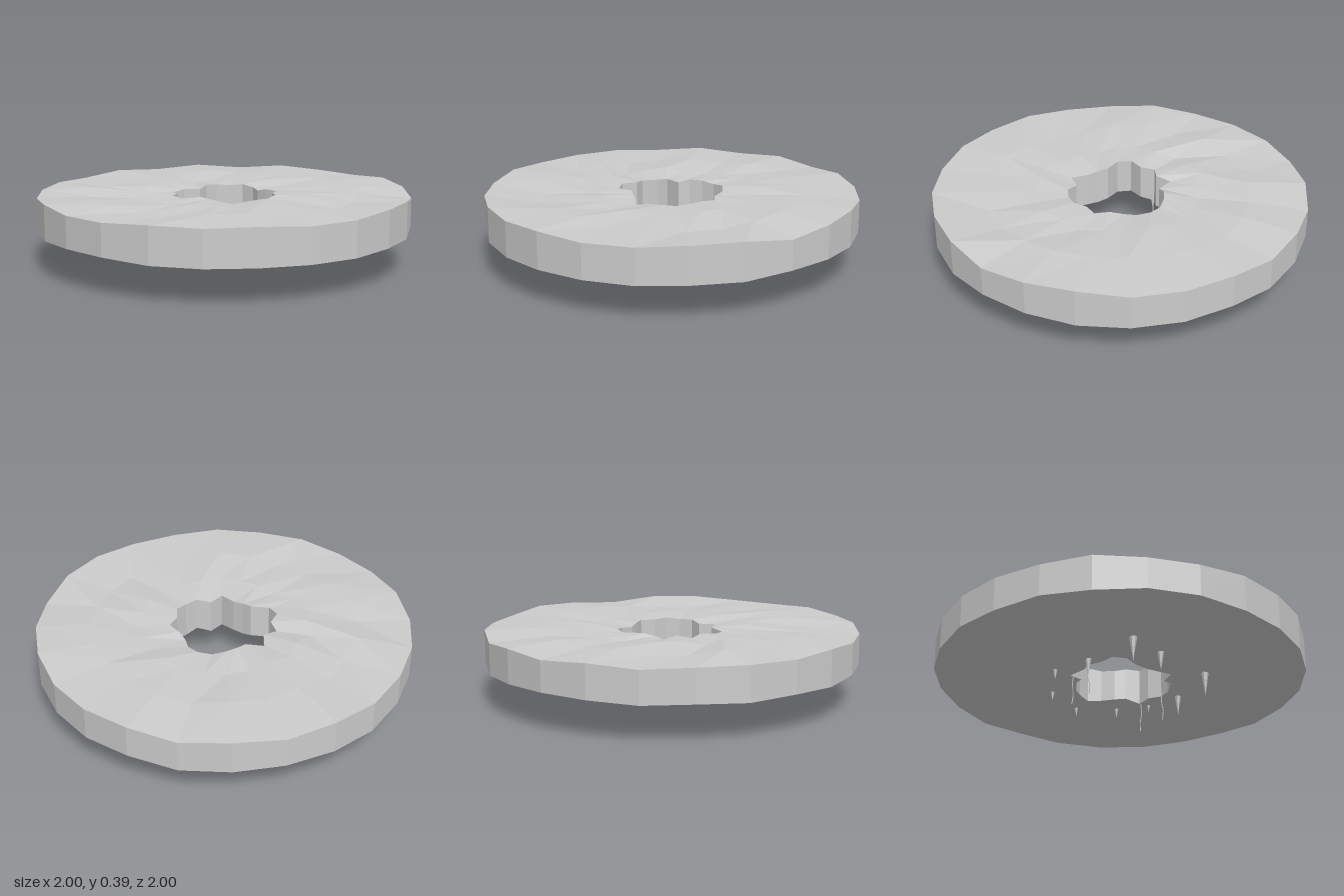
import * as THREE from 'three';

const SIDES = 24;

// Small seeded noise source, -1..1
function makeNoise(seed) {
  let s = seed;
  return () => {
    s = (s * 16807) % 2147483647;
    return (s / 2147483647) * 2 - 1;
  };
}

// Radius of the ragged hole at each 15 degree step, starting at +x towards +z
const HOLE = [
  0.24, 0.25, 0.29, 0.26, 0.29, 0.285, 0.28, 0.24, 0.295, 0.235, 0.22, 0.215,
  0.29, 0.30, 0.25, 0.285, 0.235, 0.285, 0.21, 0.24, 0.26, 0.28, 0.295, 0.275,
];

// Closed rock ring: loops run out over the top, down the rim, in underneath, up the hole wall
function slabGeometry() {
  const noise = makeNoise(4711);
  const loops = [
    // [share of the way from hole to rim, height, unevenness]
    [0, 0.368, 0.012], [0.25, 0.375, 0.016], [0.6, 0.375, 0.016], [1, 0.373, 0.015],
    [1, 0.195, 0.01], [0.6, 0.19, 0.014], [0.25, 0.185, 0.014], [0, 0.178, 0.012],
  ].map(([t, y, rough]) => HOLE.map((hole, j) => {
    const a = (j / SIDES) * Math.PI * 2;
    const r = THREE.MathUtils.lerp(hole, 1, t);
    return [Math.cos(a) * r, y + noise() * rough, Math.sin(a) * r];
  }));

  const positions = [];
  loops.forEach((loop, i) => {
    const next = loops[(i + 1) % loops.length];
    for (let j = 0; j < SIDES; j++) {
      const k = (j + 1) % SIDES;
      positions.push(...loop[j], ...next[k], ...next[j]);
      positions.push(...loop[j], ...loop[k], ...next[k]);
    }
  });
  const geometry = new THREE.BufferGeometry();
  geometry.setAttribute('position', new THREE.Float32BufferAttribute(positions, 3));
  geometry.computeVertexNormals();
  return geometry;
}

export function createModel() {
  const group = new THREE.Group();
  group.name = 'caveCeilingWithOpening';
  const rock = new THREE.MeshStandardMaterial({ color: 0xcccccc, flatShading: true });

  const slab = new THREE.Mesh(slabGeometry(), rock);
  slab.name = 'rockSlab';
  group.add(slab);

  // Stalactites around the opening: [x, z, tip height]
  const stalactites = new THREE.Group();
  stalactites.name = 'stalactites';
  [
    [0.385, -0.2, 0.13], [0.2, -0.35, 0.135], [0.385, 0.03, 0.13], [-0.11, -0.36, 0.12],
    [0.28, 0.2, 0.13], [0.15, 0.345, 0.07], [-0.26, -0.2, 0.08], [-0.145, 0.44, 0.06],
    [-0.36, 0.165, 0.09], [-0.51, 0, 0.06],
  ].forEach(([x, z, tip]) => {
    const height = 0.2 - tip;
    const cone = new THREE.Mesh(new THREE.ConeGeometry(0.01 + height * 0.085, height, 6), rock);
    cone.name = 'stalactite';
    cone.rotation.x = Math.PI;
    cone.position.set(x, tip + height / 2, z);
    stalactites.add(cone);
  });
  group.add(stalactites);

  // Thin roots dangling from the edge of the hole: [x, z, tip height]
  const roots = new THREE.Group();
  roots.name = 'hangingRoots';
  const noise = makeNoise(97);
  [
    [-0.19, -0.19, 0.018], [0.12, 0.25, 0.02], [-0.05, -0.255, 0.01], [0.255, 0.15, 0],
  ].forEach(([x, z, tip]) => {
    const points = [];
    for (let i = 0; i <= 4; i++) {
      const y = THREE.MathUtils.lerp(0.21, tip, i / 4);
      points.push(new THREE.Vector3(x + noise() * 0.01, y, z + noise() * 0.01));
    }
    const curve = new THREE.CatmullRomCurve3(points);
    const root = new THREE.Mesh(new THREE.TubeGeometry(curve, 8, 0.0025, 4), rock);
    root.name = 'hangingRoot';
    roots.add(root);
  });
  group.add(roots);

  return group;
}
